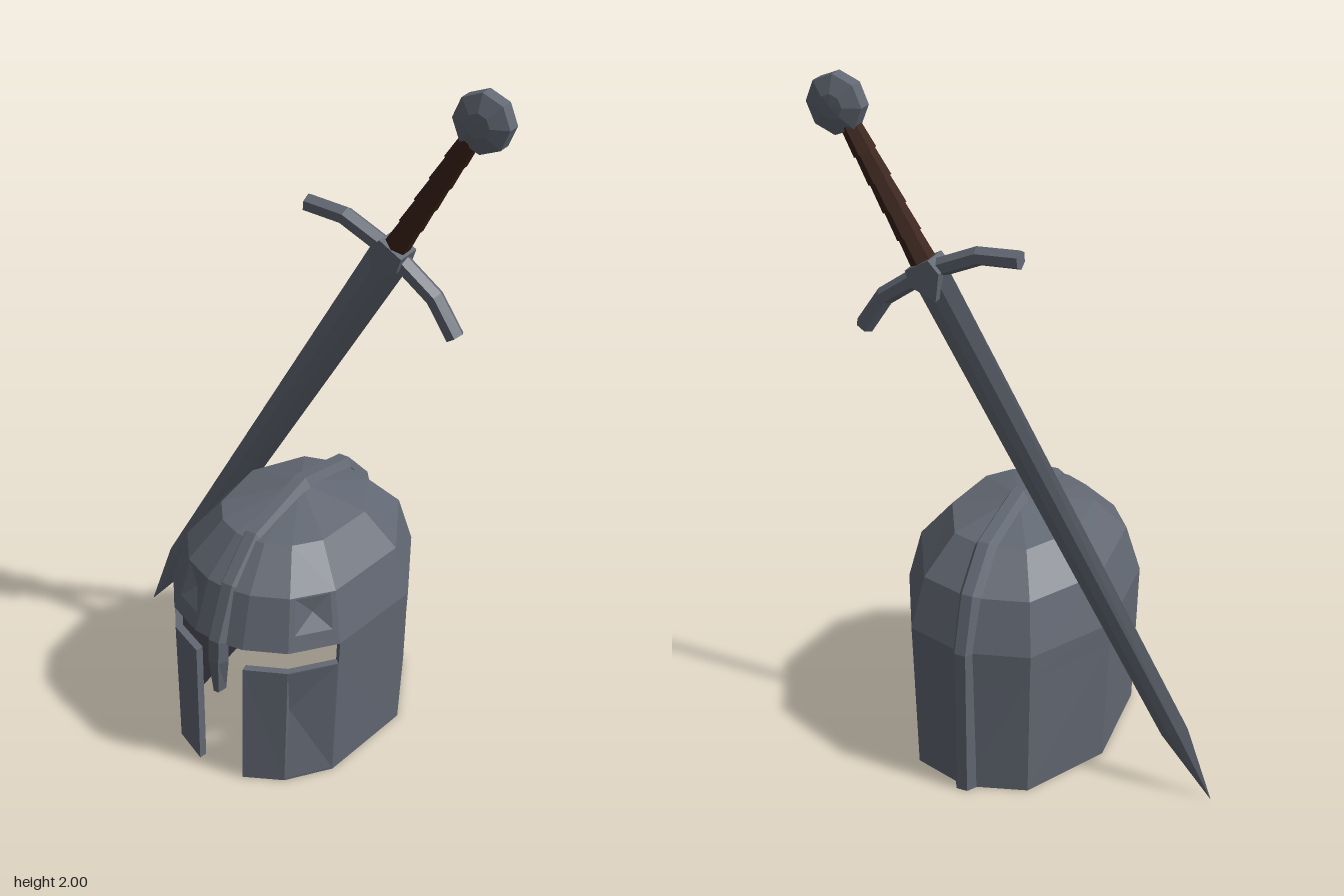
import * as THREE from 'three';

const steel = new THREE.MeshStandardMaterial({ color: 0x626873, flatShading: true, side: THREE.DoubleSide });
steel.name = 'steel';
const lining = new THREE.MeshStandardMaterial({ color: 0x2d2c35, flatShading: true });
lining.name = 'darkLining';
const leather = new THREE.MeshStandardMaterial({ color: 0x3a2118, flatShading: true });
leather.name = 'leather';

function part(name, geometry, material = steel) {
  const m = new THREE.Mesh(geometry, material);
  m.name = name;
  return m;
}

// Collects flat triangles and quads, skipping collapsed ones.
function builder() {
  const pos = [];
  const tri = (a, b, c, flip) => {
    const n = b.clone().sub(a).cross(c.clone().sub(a));
    if (n.length() < 1e-8) return;
    for (const p of flip ? [a, c, b] : [a, b, c]) pos.push(p.x, p.y, p.z);
  };
  const quad = (a, b, c, d, flip) => { tri(a, b, c, flip); tri(a, c, d, flip); };
  const build = () => {
    const g = new THREE.BufferGeometry();
    g.setAttribute('position', new THREE.Float32BufferAttribute(pos, 3));
    g.computeVertexNormals();
    return g;
  };
  return { tri, quad, build };
}

// Skins a list of equally long closed cross-sections and caps both ends.
function loft(sections) {
  const b = builder();
  const n = sections[0].length;
  for (let s = 0; s < sections.length - 1; s++)
    for (let i = 0; i < n; i++) {
      const j = (i + 1) % n;
      b.quad(sections[s][i], sections[s][j], sections[s + 1][j], sections[s + 1][i]);
    }
  const first = sections[0], last = sections[sections.length - 1];
  for (let i = 1; i < n - 1; i++) {
    b.tri(first[0], first[i + 1], first[i]);
    b.tri(last[0], last[i], last[i + 1]);
  }
  return b.build();
}

const V = (x, y, z) => new THREE.Vector3(x, y, z);

// Half outline of the helmet (x, z), from back to front.
const outline = [[0, -0.4], [0.185, -0.345], [0.322, -0.095], [0.288, 0.215], [0.195, 0.335], [0.08, 0.39], [0, 0.4]];
// Rows of the helmet: height, width scale, depth scale, z shift.
const rows = [[0, 0.94, 1, 0], [0.39, 0.99, 1, 0], [0.46, 1, 1, 0], [0.61, 0.88, 0.87, 0], [0.715, 0.6, 0.6, 0], [0.765, 0, 0, -0.02]];
// Battle dents by side, column and row: [u0, u1, v0, v1, centre u, centre v, depth]
const dents = {
  '-1,4,2': [0.1, 0.9, 0.3, 0.97, 0.5, 0.63, 0.04],
  '1,3,2': [0.12, 0.88, 0.3, 0.97, 0.5, 0.63, 0.05],
  '-1,3,0': [0.1, 0.95, 0.01, 0.47, 0.5, 0.22, 0.05],
  '1,3,0': [0.02, 0.99, 0.02, 0.99, 0.95, 0.62, 0.06],
  '1,1,0': [0.02, 0.99, 0.02, 0.99, 0.96, 0.62, 0.06],
};

// Outer steel wall with its rims, and the dark wall inside it.
function helmetWalls() {
  const walls = [builder(), builder()];
  const corner = (side, i, r, inner) => {
    const [y, sx, sz, dz] = rows[r];
    const k = inner ? 0.94 : 1;
    return V(side * outline[i][0] * sx * k, y - (inner && r > 2 ? 0.015 : 0), (outline[i][1] * sz + dz) * k);
  };
  for (const side of [-1, 1])
    for (let r = 0; r < rows.length - 1; r++)
      for (let i = 0; i < 6; i++) {
        if (r === 1 && i >= 3) continue; // eye slit
        if (r === 0 && i === 5) continue; // face opening
        const layers = [false, true].map(inner =>
          [[i, r], [i + 1, r], [i + 1, r + 1], [i, r + 1]].map(([c, q]) => corner(side, c, q, inner)));
        layers.forEach((p, layer) => {
          const b = walls[layer];
          const flip = (side > 0) !== (layer === 1);
          const d = dents[[side, i, r].join()];
          if (!d) return b.quad(...p, flip);
          const at = (u, v) => p[0].clone().lerp(p[1], u).lerp(p[3].clone().lerp(p[2], u), v);
          const [u0, u1, v0, v1, cu, cv, depth] = d;
          const hole = [at(u0, v0), at(u1, v0), at(u1, v1), at(u0, v1)];
          const pit = at(cu, cv).multiply(V(1 - depth, 1, 1 - depth));
          for (let e = 0; e < 4; e++) {
            const f = (e + 1) % 4;
            b.quad(p[e], p[f], hole[f], hole[e], flip);
            b.tri(hole[e], hole[f], pit, flip);
          }
        });
        // rims where the shell is open
        const [o, n] = layers;
        const rim = (e, f) => walls[0].quad(o[f], o[e], n[e], n[f], side > 0);
        if (r === 0 || (r === 2 && i >= 3)) rim(0, 1);
        if (r === 0 && i >= 3) rim(2, 3);
        if ((r === 0 && i === 4) || (r === 1 && i === 2)) rim(1, 2);
      }
  return walls.map(b => b.build());
}

// Raised crest running from the nape over the crown down to the nose guard.
function crest() {
  const path = [[-0.418, 0], [-0.412, 0.46], [-0.36, 0.625], [-0.25, 0.735], [-0.02, 0.785], [0.23, 0.732],
    [0.348, 0.625], [0.415, 0.47], [0.418, 0.4], [0.408, 0.29]];
  return loft(path.map(([z, y], i) => {
    const a = path[Math.max(i - 1, 0)], c = path[Math.min(i + 1, path.length - 1)];
    const t = new THREE.Vector2(c[0] - a[0], c[1] - a[1]).normalize();
    const h = 0.027; // depth below the crest line
    const w = i === path.length - 1 ? 0.016 : 0.033;
    const bz = z + t.y * h, by = Math.max(y - t.x * h, 0);
    return [V(-w, by, bz), V(-w * 0.5, y, z), V(w * 0.5, y, z), V(w, by, bz)];
  }));
}

function makeHelmet() {
  const g = new THREE.Group();
  g.name = 'helmet';
  const [outer, inner] = helmetWalls();
  g.add(part('helmetShell', outer), part('helmetLining', inner, lining), part('crestAndNoseGuard', crest()));
  g.position.x = 0.065;
  return g;
}

// The sword is built upright with its tip at the origin.
function makeSword() {
  const g = new THREE.Group();
  g.name = 'sword';

  // blade with a flat middle between bevelled edges
  const section = (y, w, f, t) => [[w, 0], [f, -t], [-f, -t], [-w, 0], [-f, t], [f, t]].map(([x, z]) => V(x, y, z));
  g.add(part('blade', loft([section(0, 0.001, 0.0005, 0.001), section(0.23, 0.045, 0.015, 0.014), section(1.7, 0.06, 0.018, 0.015)])));

  // curved crossguard
  const arm = [[-0.273, 1.645], [-0.165, 1.698], [0, 1.715], [0.165, 1.698], [0.273, 1.645]];
  g.add(part('crossguard', loft(arm.map(([x, y], i) => {
    const a = arm[Math.max(i - 1, 0)], c = arm[Math.min(i + 1, 4)];
    const t = new THREE.Vector2(c[0] - a[0], c[1] - a[1]).normalize();
    return Array.from({ length: 6 }, (_, k) => {
      const q = (k + 0.5) * Math.PI / 3;
      const n = Math.sin(q) * 0.027, z = Math.cos(q) * 0.028;
      return V(x - t.y * n, y + t.x * n, z);
    });
  }))));

  // pointed centre block of the guard
  const block = new THREE.Shape([[-0.04, 1.745], [-0.05, 1.7], [0, 1.635], [0.05, 1.7], [0.04, 1.745]]
    .map(p => new THREE.Vector2(...p)));
  const blockGeo = new THREE.ExtrudeGeometry(block, { depth: 0.08, bevelEnabled: false });
  g.add(part('guardBlock', blockGeo.translate(0, 0, -0.04)));

  // leather wraps on the grip
  const wraps = 5, len = 0.41 / wraps;
  for (let i = 0; i < wraps; i++) {
    const r = 0.037 - i * 0.001;
    const wrap = new THREE.CylinderGeometry(r - 0.005, r, len, 6);
    g.add(part('gripWrap', wrap.translate(0, 1.74 + (i + 0.5) * len, 0), leather));
  }

  // eight-sided disc pommel
  const profile = [[0, -0.042], [0.035, -0.04], [0.083, -0.02], [0.083, 0.02], [0.035, 0.04], [0, 0.042]]
    .map(p => new THREE.Vector2(...p));
  const pommel = new THREE.LatheGeometry(profile, 8).rotateX(Math.PI / 2).rotateZ(Math.PI / 6);
  g.add(part('pommel', pommel.translate(0.004, 2.215, 0)));

  g.rotation.z = -Math.PI / 6;
  g.position.set(-0.6, 0, -0.165);
  return g;
}

export function createModel() {
  const model = new THREE.Group();
  model.name = 'helmetAndSword';
  model.add(makeHelmet(), makeSword());
  return model;
}
